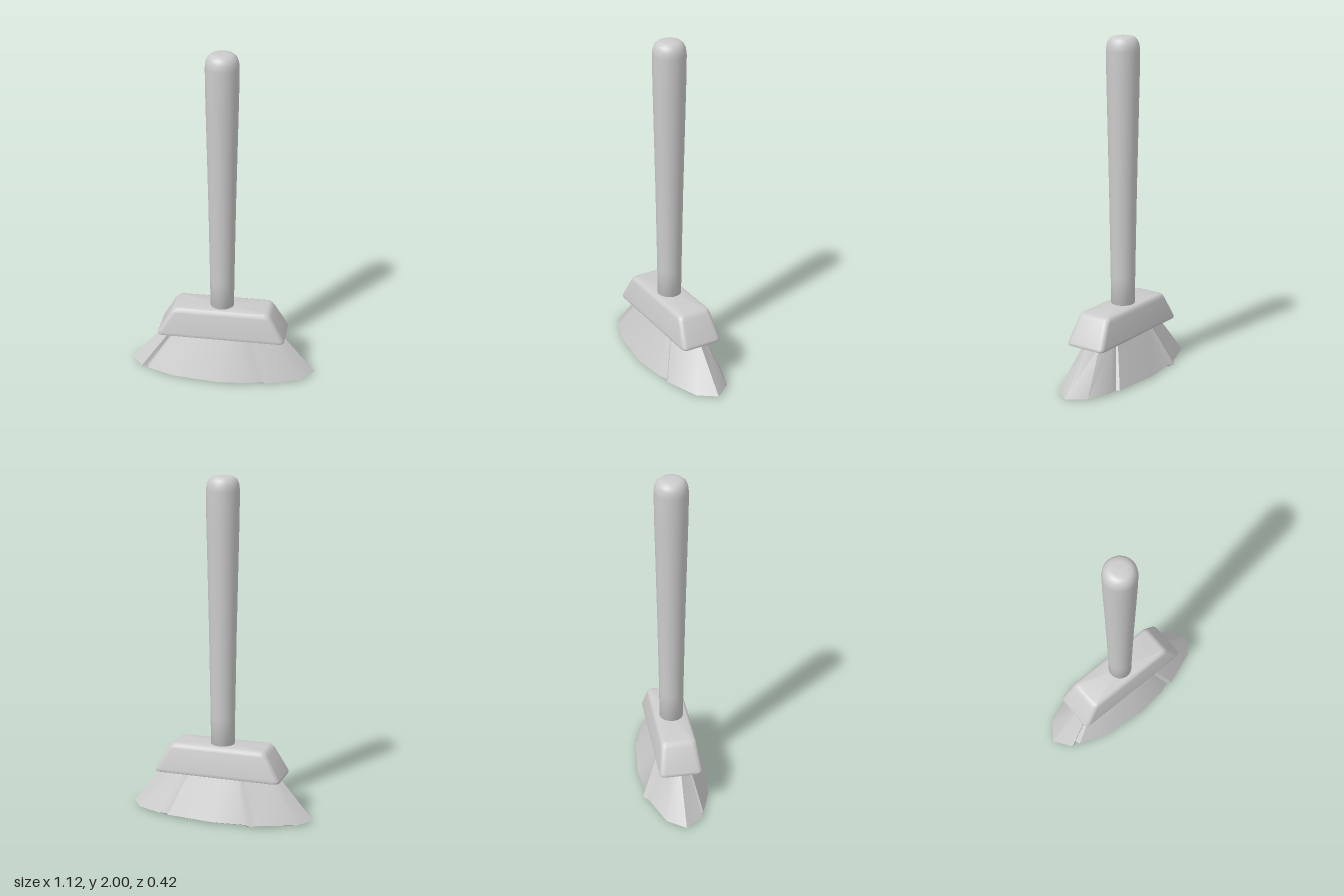
import * as THREE from 'three';
import { toCreasedNormals } from 'three/addons/utils/BufferGeometryUtils.js';

const material = new THREE.MeshStandardMaterial({ color: 0xcccccc });

// Skin a stack of equal-length rings (bottom to top) and close both ends.
function loft(rings, bottomY, topY, crease) {
  const n = rings[0].length;
  const pos = rings.flat(2);
  const index = [];
  const bottom = rings.length * n;
  const top = bottom + 1;
  pos.push(0, bottomY, 0, 0, topY, 0);
  const last = (rings.length - 1) * n;
  for (let i = 0; i < n; i++) {
    const j = (i + 1) % n;
    for (let r = 0; r < rings.length - 1; r++) {
      const a = r * n + i, b = r * n + j;
      index.push(a, a + n, b, b, a + n, b + n);
    }
    index.push(bottom, i, j, top, last + j, last + i);
  }
  const g = new THREE.BufferGeometry();
  g.setAttribute('position', new THREE.Float32BufferAttribute(pos, 3));
  g.setIndex(index);
  return toCreasedNormals(g, crease);
}

// Rectangle with rounded corners, lying at height y.
function roundedRing(y, hx, hz, radius) {
  const ring = [];
  const steps = 5;
  [[1, 1], [-1, 1], [-1, -1], [1, -1]].forEach(([sx, sz], corner) => {
    for (let k = 0; k <= steps; k++) {
      const a = (corner + k / steps) * Math.PI / 2;
      ring.push([sx * (hx - radius) + radius * Math.cos(a), y,
        sz * (hz - radius) + radius * Math.sin(a)]);
    }
  });
  return ring;
}

export function createModel() {
  const group = new THREE.Group();
  const add = (name, geometry) => {
    const mesh = new THREE.Mesh(geometry, material);
    mesh.name = name;
    group.add(mesh);
    return mesh;
  };

  // Tapered round handle, thicker towards its domed end
  const profile = [[0, 0.4], [0.07, 0.4], [0.072, 0.6], [0.08, 1.1], [0.094, 1.75],
    [0.096, 1.92], [0.092, 1.955], [0.081, 1.98], [0.064, 1.995], [0.04, 2], [0, 2]];
  const handle = add('handle', new THREE.LatheGeometry(
    profile.map(([r, y]) => new THREE.Vector2(r, y)), 32));
  handle.position.x = -0.005;

  // Sloped block that holds the bristles
  add('head', loft([
    roundedRing(0.25, 0.372, 0.119, 0.025),
    roundedRing(0.253, 0.379, 0.125, 0.03),
    roundedRing(0.262, 0.381, 0.127, 0.03),
    roundedRing(0.272, 0.377, 0.126, 0.03),
    roundedRing(0.4, 0.304, 0.107, 0.03),
    roundedRing(0.415, 0.293, 0.103, 0.03),
    roundedRing(0.426, 0.281, 0.095, 0.026),
    roundedRing(0.43, 0.265, 0.084, 0.02),
  ], 0.25, 0.43, 0.7));

  // Flared bristle skirt with a fold near each corner
  const rim = [[0.56, 0], [0.485, 0.105], [0.28, 0.18], [0.25, 0.165], [0.19, 0.19],
    [0, 0.21], [-0.28, 0.18], [-0.44, 0.12], [-0.45, 0.09], [-0.485, 0.105],
    [-0.56, 0], [-0.485, -0.105], [-0.28, -0.18], [-0.24, -0.21], [-0.2, -0.19],
    [0, -0.21], [0.28, -0.18], [0.29, -0.16], [0.345, -0.16], [0.485, -0.105]];
  const skirtRing = (y, sx, sz) => rim.map(([x, z]) => [x * sx, y, z * sz]);
  add('bristles', loft([
    skirtRing(0.003, 0.95, 0.93),
    skirtRing(0.01, 1, 1),
    skirtRing(0.26, 0.62, 0.5),
  ], 0, 0.26, 0.6));

  return group;
}
